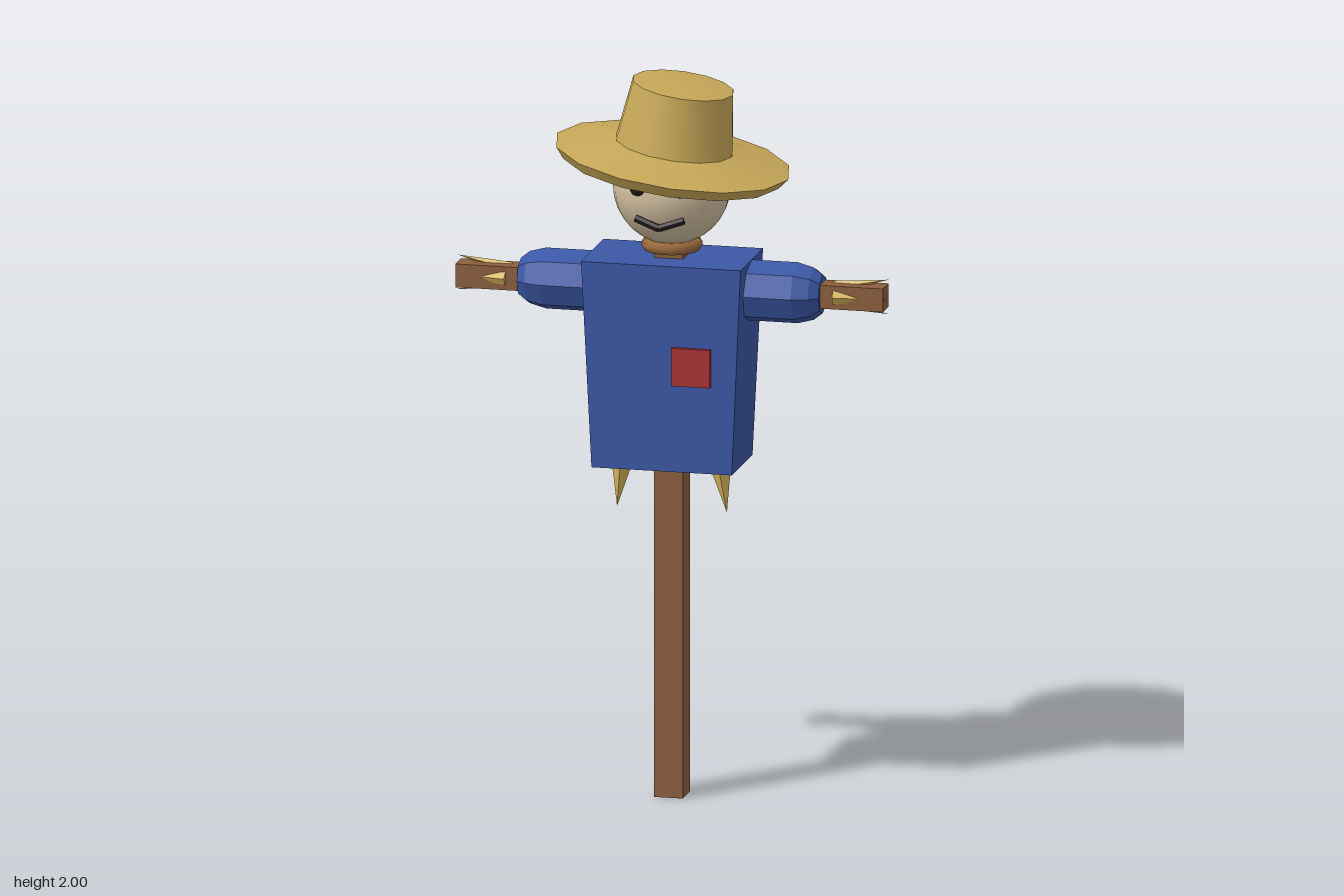
import * as THREE from 'three';
import { toCreasedNormals } from 'three/addons/utils/BufferGeometryUtils.js';

const V = (x, y, z) => new THREE.Vector3(x, y, z);
const mat = (name, color) => {
  const m = new THREE.MeshStandardMaterial({ color });
  m.name = name;
  return m;
};

export function createModel() {
  const wood = mat('wood', 0x8b5e3f);
  const cloth = mat('blue cloth', 0x3b57a5);
  const red = mat('red patch', 0xa83236);
  const sack = mat('sackcloth', 0xd2c0a0);
  const hatStraw = mat('hat straw', 0xc9a959);
  const straw = mat('straw', 0xd6b55c);
  const rope = mat('rope', 0x9a6a3c);
  const dark = mat('charcoal', 0x241a1c);

  const model = new THREE.Group();
  model.name = 'scarecrow';

  const add = (name, geometry, material, position = V(0, 0, 0), parent = model) => {
    const mesh = new THREE.Mesh(geometry, material);
    mesh.name = name;
    mesh.position.copy(position);
    parent.add(mesh);
    return mesh;
  };
  const flat = (g) => toCreasedNormals(g, 0.1);
  const lathe = (points, sides, start = 0) =>
    new THREE.LatheGeometry(points.map(([r, y]) => new THREE.Vector2(r, y)), sides, start);

  // Cylinder or cone running from one point to another
  const rod = (name, from, to, r0, r1, sides, material) => {
    const dir = to.clone().sub(from);
    const g = flat(new THREE.CylinderGeometry(r1, r0, dir.length(), sides));
    const mesh = add(name, g, material, from.clone().add(to).multiplyScalar(0.5));
    mesh.quaternion.setFromUnitVectors(V(0, 1, 0), dir.normalize());
    return mesh;
  };

  // Wooden frame
  add('post', new THREE.BoxGeometry(0.08, 1.56, 0.08), wood, V(0, 0.78, 0));
  add('crossbar', new THREE.BoxGeometry(1.19, 0.065, 0.065), wood, V(0, 1.42, 0));

  // Shirt body, narrowing toward the hem
  const body = new THREE.BoxGeometry(0.444, 0.575, 0.26);
  const p = body.attributes.position;
  for (let i = 0; i < p.count; i++) {
    if (p.getY(i) < 0) p.setXYZ(i, p.getX(i) * 0.88, p.getY(i), p.getZ(i) * 0.92);
  }
  add('shirt', flat(body), cloth, V(0, 1.2175, 0));
  const patch = add('patch', new THREE.BoxGeometry(0.108, 0.105, 0.02), red, V(0.085, 1.227, 0.13));
  patch.rotation.x = -0.017;

  // Sleeves and the straw poking out of cuffs and hem
  const sleeve = flat(lathe([[0, 0.15], [0.085, 0.15], [0.085, 0.35], [0.073, 0.395], [0.053, 0.42], [0, 0.42]], 8));
  for (const s of [1, -1]) {
    const side = s > 0 ? 'left' : 'right';
    add(side + 'Sleeve', sleeve, cloth, V(0, 1.42, 0)).rotation.z = -s * Math.PI / 2;
    for (const t of [1, -1]) {
      rod(side + 'HandStraw', V(s * 0.45, 1.42 + t * 0.02, -0.014), V(s * 0.6, 1.42 + t * 0.048, -0.012), 0.018, 0, 5, straw);
      rod(side + 'HandStraw', V(s * 0.455, 1.42, t * 0.03), V(s * 0.6, 1.42, t * 0.015), 0.02, 0, 5, straw);
    }
    rod(side + 'HemStraw', V(s * 0.134, 0.95, 0), V(s * 0.153, 0.795, 0), 0.037, 0, 5, straw);
  }

  // Head, neck rope and face
  const neck = add('neckRope', new THREE.TorusGeometry(0.067, 0.018, 6, 14), rope, V(0, 1.538, 0));
  neck.rotation.x = Math.PI / 2;
  add('head', new THREE.SphereGeometry(0.16, 24, 16), sack, V(0, 1.7, 0));
  for (const s of [1, -1]) {
    add('eye', new THREE.SphereGeometry(0.025, 10, 8), dark, V(s * 0.06, 1.725, 0.141));
    rod('mouth', V(0, 1.615, 0.152), V(s * 0.067, 1.637, 0.139), 0.011, 0.011, 6, dark);
  }

  // Tilted straw hat
  const hat = new THREE.Group();
  hat.name = 'hat';
  hat.position.set(0.002, 1.78, 0);
  hat.rotation.z = -0.145;
  model.add(hat);
  const brim = lathe([[0, -0.03], [0.302, -0.03], [0.325, 0], [0.15, 0.035]], 14, Math.PI / 2);
  add('brim', toCreasedNormals(brim, 0.6), hatStraw, V(0, 0, 0), hat);
  const crown = lathe([[0.163, 0.03], [0.14, 0.202], [0, 0.216]], 14, Math.PI / 2);
  add('crown', toCreasedNormals(crown, 0.6), hatStraw, V(0, 0, 0), hat);

  return model;
}
